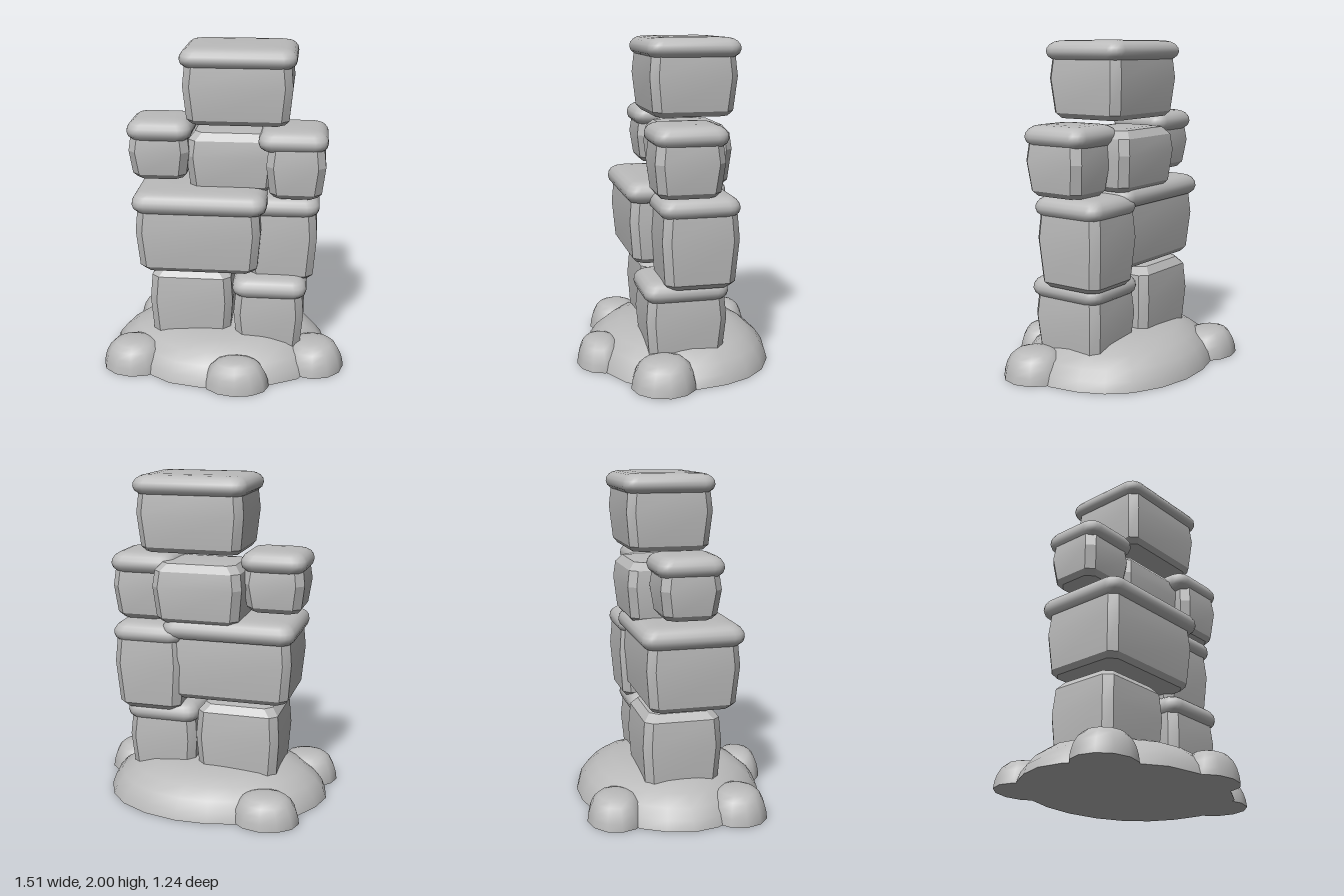
import * as THREE from 'three';
import { toCreasedNormals } from 'three/addons/utils/BufferGeometryUtils.js';

const stone = new THREE.MeshStandardMaterial({ color: 0xbbbbbb });
stone.name = 'grey stone';

// Skin a stack of closed rings (bottom to top) and close both ends with fans
function loft(rings, crease) {
  const n = rings[0].length, pos = [], idx = [];
  rings.forEach(r => r.forEach(p => pos.push(p.x, p.y, p.z)));
  for (let k = 0; k < rings.length - 1; k++) {
    for (let i = 0; i < n; i++) {
      const a = k * n + i, b = k * n + (i + 1) % n;
      idx.push(a, a + n, b, b, a + n, b + n);
    }
  }
  const close = (ring, start, top) => {
    const c = pos.length / 3;
    const m = ring.reduce((s, p) => s.add(p), new THREE.Vector3()).divideScalar(n);
    pos.push(m.x, m.y, m.z);
    for (let i = 0; i < n; i++) {
      const a = start + i, b = start + (i + 1) % n;
      if (top) idx.push(a, c, b); else idx.push(b, c, a);
    }
  };
  close(rings[0], 0, false);
  close(rings[rings.length - 1], (rings.length - 1) * n, true);
  const g = new THREE.BufferGeometry();
  g.setAttribute('position', new THREE.Float32BufferAttribute(pos, 3));
  g.setIndex(idx);
  return toCreasedNormals(g, crease);
}

// Rectangle with rounded (or, with one segment, chamfered) corners at height y
function rectRing([x0, x1], [z0, z1], y, inset, r, seg) {
  const pts = [];
  const corners = [[x1, z1, -1, -1], [x0, z1, 1, -1], [x0, z0, 1, 1], [x1, z0, -1, 1]];
  corners.forEach(([x, z, sx, sz], q) => {
    for (let i = 0; i <= seg; i++) {
      const a = (q + i / seg) * Math.PI / 2;
      pts.push(new THREE.Vector3(
        x + sx * (inset + r) + r * Math.cos(a), y,
        z + sz * (inset + r) + r * Math.sin(a)));
    }
  });
  return pts;
}

// Chamfered stone body, slightly bulging and narrower at its foot
function body(xs, [y0, y1], zs, capped) {
  const h = y1 - y0;
  const levels = [[y0, 0.045], [y0 + 0.03, 0.02], [y0 + h * 0.6, 0]];
  if (capped) levels.push([y1, 0.015]);
  else levels.push([y1 - 0.05, 0.012], [y1 - 0.005, 0.05], [y1, 0.1]);
  return loft(levels.map(([y, inset]) => rectRing(xs, zs, y, inset, 0.045, 1)), 0.3);
}

// Soft pillow slab lying on a body
function cap(xs, [y0, y1], zs) {
  const h = y1 - y0;
  const levels = [[0, 0.06], [0.06, 0.03], [0.22, 0.008], [0.42, 0], [0.62, 0.003],
    [0.8, 0.018], [0.92, 0.04], [0.97, 0.065], [1, 0.12]];
  return loft(levels.map(([t, inset]) =>
    rectRing(xs, zs, y0 + h * t, inset, Math.max(0.075 - inset * 0.3, 0.03), 4)), 1.0);
}

// Flat-bottomed mound over a closed outline of [x, z] points
const moundProfile = [[1, 0], [0.97, 0.25], [0.9, 0.5], [0.78, 0.74], [0.62, 0.9], [0.4, 0.98], [0.15, 1]];
function mound(outline, cx, cz, height) {
  return loft(moundProfile.map(([s, t]) => outline.map(([x, z]) =>
    new THREE.Vector3(cx + (x - cx) * s, t * height, cz + (z - cz) * s))), 1.0);
}

export function createModel() {
  const model = new THREE.Group();
  model.name = 'stoneTower';
  const add = (parent, name, geometry) => {
    const m = new THREE.Mesh(geometry, stone);
    m.name = name;
    parent.add(m);
  };

  // Ground mound, outline running from +x through +z
  const outline = [[0.66, -0.02], [0.58, 0.2], [0.47, 0.37], [0.3, 0.46], [0.1, 0.51], [-0.1, 0.53],
    [-0.31, 0.49], [-0.46, 0.39], [-0.62, 0.25], [-0.71, 0.1], [-0.74, -0.05], [-0.7, -0.2],
    [-0.62, -0.34], [-0.46, -0.47], [-0.28, -0.56], [-0.12, -0.6], [0.08, -0.605], [0.28, -0.56],
    [0.45, -0.47], [0.56, -0.35], [0.63, -0.2]];
  add(model, 'groundMound', mound(outline, -0.05, -0.04, 0.235));

  // Boulders around the mound: centre x, z, radii x, z, height
  [
    ['frontBoulder', 0.1, 0.47, 0.2, 0.145, 0.175],
    ['rightFrontBoulder', -0.56, 0.26, 0.2, 0.18, 0.18],
    ['leftBoulder', 0.56, 0.165, 0.195, 0.195, 0.178],
    ['backBoulder', -0.44, -0.45, 0.205, 0.17, 0.17],
  ].forEach(([name, x, z, rx, rz, h]) => {
    const ring = Array.from({ length: 12 }, (_, i) => {
      const a = (i / 12) * Math.PI * 2;
      return [x + rx * Math.cos(a), z + rz * Math.sin(a)];
    });
    add(model, name, mound(ring, x, z, h));
  });

  // Stones from bottom to top: body extents, then cap extents where there is one
  [
    ['lowerRightStone', [-0.47, 0.05], [0.1, 0.62], [-0.28, 0.2]],
    ['lowerLeftStone', [0.06, 0.495], [0.1, 0.53], [-0.24, 0.245], [0.05, 0.51], [0.465, 0.6], [-0.25, 0.26]],
    ['middleRightStone', [-0.535, 0.225], [0.64, 1.07], [-0.27, 0.29], [-0.555, 0.26], [1.015, 1.15], [-0.3, 0.315]],
    ['middleLeftStone', [0.13, 0.565], [0.56, 1.04], [-0.295, 0.165], [0.13, 0.575], [0.975, 1.105], [-0.3, 0.18]],
    ['upperRightStone', [-0.59, -0.22], [1.19, 1.48], [-0.2, 0.155], [-0.6, -0.205], [1.43, 1.56], [-0.22, 0.175]],
    ['upperCentreStone', [-0.24, 0.31], [1.12, 1.485], [-0.315, 0.13]],
    ['upperLeftStone', [0.25, 0.605], [1.105, 1.44], [-0.195, 0.215], [0.2, 0.615], [1.39, 1.52], [-0.215, 0.22]],
    ['topStone', [-0.25, 0.4], [1.545, 1.93], [-0.32, 0.2], [-0.27, 0.42], [1.88, 2], [-0.34, 0.215]],
  ].forEach(([name, xs, ys, zs, capX, capY, capZ]) => {
    const group = new THREE.Group();
    group.name = name;
    add(group, name + 'Body', body(xs, ys, zs, !!capX));
    if (capX) add(group, name + 'Cap', cap(capX, capY, capZ));
    model.add(group);
  });
  return model;
}
